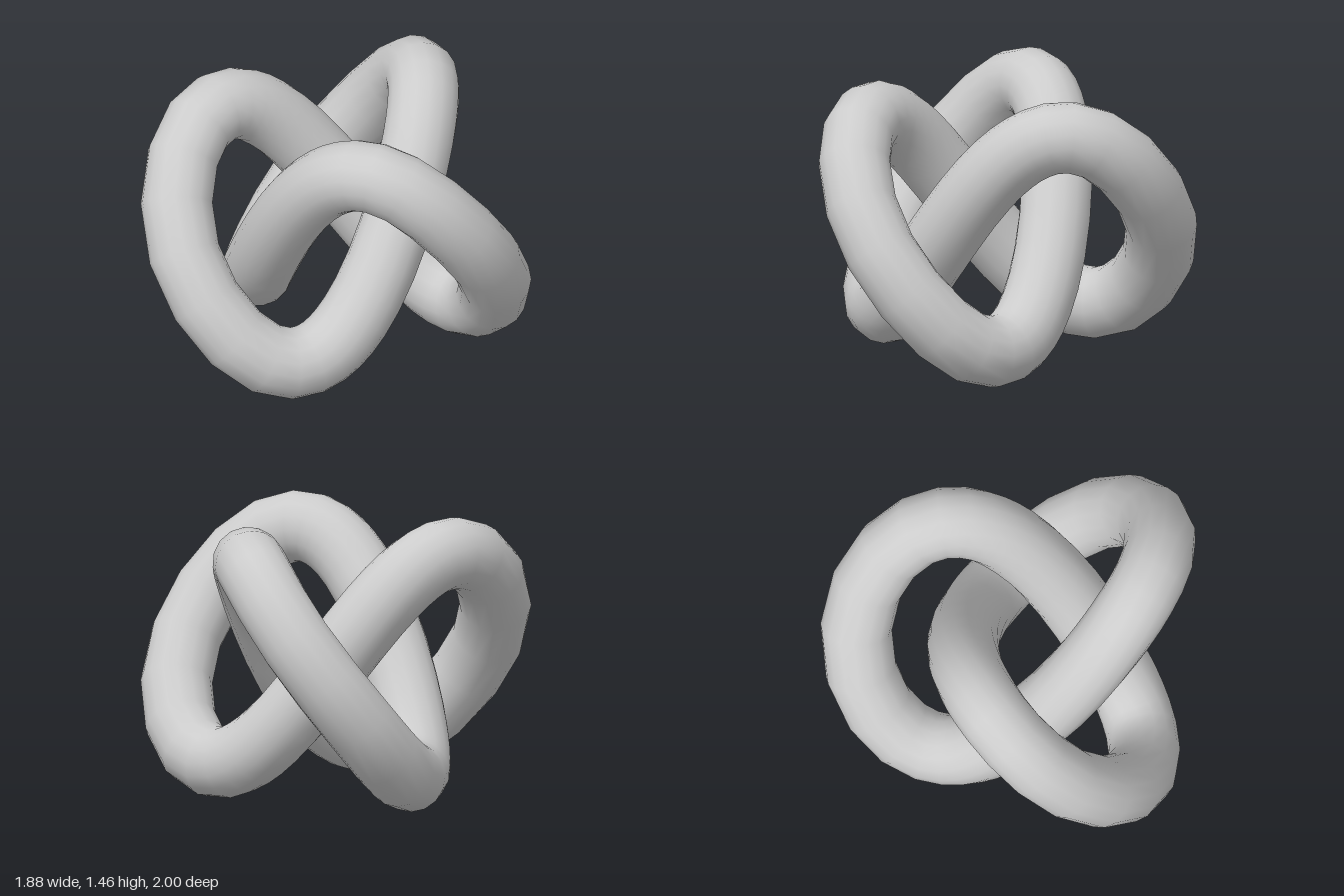
import * as THREE from 'three';

const OUTER = 0.613;    // double-turn part of the plan
const INNER = 0.2766;   // counter-turn part of the plan
const HEIGHT = 0.533;   // rise and fall of the strand
const RADIUS = 0.184;   // thickness of the strand

// Closed trefoil path: three lobes in plan, rising and falling once per lobe
class TrefoilCurve extends THREE.Curve {
  getPoint(u, target = new THREE.Vector3()) {
    const a = u * Math.PI * 2;
    // Longer steps on the lobes, shorter where the strands cross
    const t = a + 0.183 * Math.sin(3 * a) + 0.075 * Math.sin(6 * a);
    return target.set(
      0.132 - OUTER * Math.cos(2 * t) - INNER * Math.cos(t),
      0.73 - HEIGHT * (Math.sin(3 * t) - 0.12 * Math.sin(6 * t)),
      OUTER * Math.sin(2 * t) - INNER * Math.sin(t)
    );
  }
  // Keep the path's own spacing instead of equal arc lengths
  getPointAt(u, target) { return this.getPoint(u, target); }
  getTangentAt(u, target) { return this.getTangent(u, target); }
}

export function createModel() {
  const group = new THREE.Group();
  group.name = 'trefoilKnot';

  // Round strand swept along the closed path
  const strand = new THREE.Mesh(
    new THREE.TubeGeometry(new TrefoilCurve(), 72, RADIUS, 16, true),
    new THREE.MeshStandardMaterial({ color: 0xcccccc })
  );
  strand.name = 'knotStrand';
  group.add(strand);
  return group;
}
